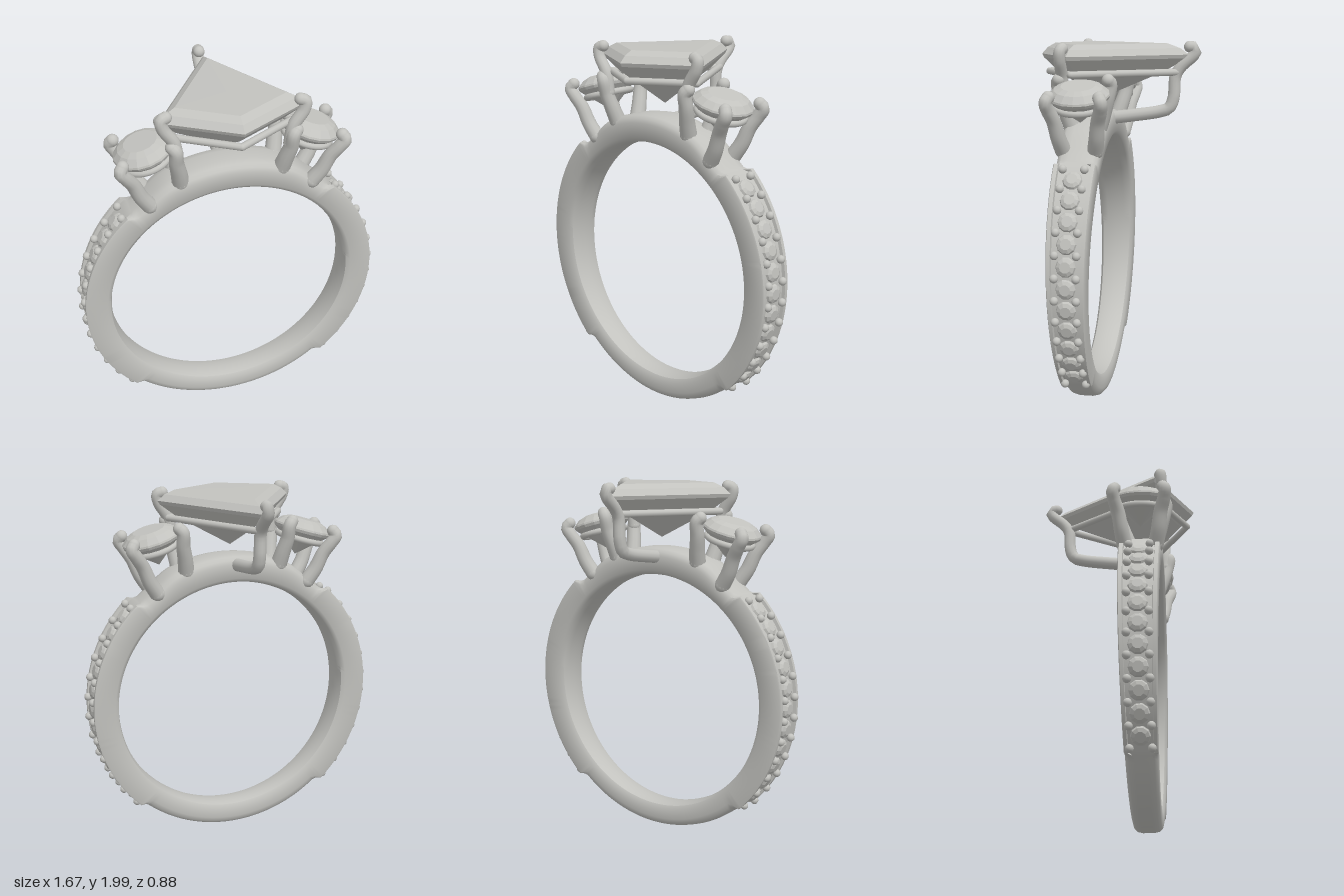
import * as THREE from 'three';
import { toCreasedNormals } from 'three/addons/utils/BufferGeometryUtils.js';

const CY = 0.805; // centre height of the hoop
const CZ = 0.148; // depth of the hoop
const V = (x, y, z) => new THREE.Vector3(x, y, z);

export function createModel() {
  const ring = new THREE.Group();
  ring.name = 'ring';
  const silver = new THREE.MeshStandardMaterial({ color: 0xc2c2be });
  silver.name = 'silver';

  const add = (name, geometry, parent = ring) => {
    const mesh = new THREE.Mesh(geometry, silver);
    mesh.name = name;
    parent.add(mesh);
    return mesh;
  };

  add('band', bandGeometry());

  // Shoulder stones with their grains, along both sides of the band
  const melee = gemGeometry(circle(10, 0.052), [[0, -0.02], [1, 0], [0.9, 0.012], [0.55, 0.022], [0, 0.022]]);
  const grain = new THREE.SphereGeometry(0.022, 12, 8);
  for (const side of [1, -1]) {
    const row = new THREE.Group();
    row.name = side > 0 ? 'leftPave' : 'rightPave';
    ring.add(row);
    for (let i = 0; i < 12; i++) {
      const a = THREE.MathUtils.degToRad(-44.6 + i * 8.07);
      for (const dz of [-0.056, 0.056]) {
        add('grain', grain, row).position.set(side * 0.817 * Math.cos(a), CY + 0.817 * Math.sin(a), CZ + dz);
      }
      if (i === 11) continue;
      const m = a + THREE.MathUtils.degToRad(4.03);
      const stone = add('smallStone', melee, row);
      stone.position.set(side * 0.799 * Math.cos(m), CY + 0.799 * Math.sin(m), CZ);
      stone.rotation.z = side * (m - Math.PI / 2);
    }
  }

  // Rounded, tapered claw following a path
  const prong = (name, points, r0, r1) => {
    const group = new THREE.Group();
    group.name = name;
    ring.add(group);
    const curve = new THREE.CatmullRomCurve3(points, false, 'centripetal');
    const n = 28, sides = 12;
    const geo = new THREE.TubeGeometry(curve, n, 1, sides, false);
    const pos = geo.attributes.position;
    for (let i = 0; i <= n; i++) {
      const c = curve.getPointAt(i / n);
      const r = THREE.MathUtils.lerp(r0, r1, i / n);
      for (let j = 0; j <= sides; j++) {
        const k = i * (sides + 1) + j;
        const p = V().fromBufferAttribute(pos, k).sub(c).multiplyScalar(r).add(c);
        pos.setXYZ(k, p.x, p.y, p.z);
      }
    }
    add('claw', geo, group);
    add('clawTip', new THREE.SphereGeometry(r1, 14, 10), group).position.copy(points[points.length - 1]);
    add('clawFoot', new THREE.SphereGeometry(r0, 14, 10), group).position.copy(points[0]);
  };

  // Kite shaped centre stone and its rail
  const kite = [[0, 0.32], [0.38, 0.105], [0, -0.495], [-0.38, 0.105]];
  add('centreStone', gemGeometry(kite, [
    [0, 1.68], [0.73, 1.835], [0.97, 1.905], [1, 1.925], [0.9, 1.96], [0.76, 1.985], [0, 1.988],
  ])).position.z = 0.125;
  const rail = new THREE.CurvePath();
  const corners = kite.map(([x, z]) => V(x * 0.85, 1.83, 0.125 + z * 0.87));
  corners.forEach((p, i) => rail.add(new THREE.LineCurve3(p, corners[(i + 1) % 4])));
  rail.curves.forEach((edge) => {
    add('centreRail', new THREE.TubeGeometry(edge, 1, 0.019, 10));
    add('railCorner', new THREE.SphereGeometry(0.019, 10, 8)).position.copy(edge.v1);
  });

  // Centre stone claws
  prong('backProng', [
    V(-0.015, 1.575, 0.07), V(-0.015, 1.59, -0.05), V(-0.015, 1.615, -0.21), V(-0.015, 1.635, -0.262),
    V(-0.015, 1.69, -0.285), V(-0.015, 1.81, -0.295), V(-0.015, 1.86, -0.325), V(-0.015, 1.93, -0.4),
    V(-0.015, 1.96, -0.405), V(-0.015, 1.967, -0.37),
  ], 0.036, 0.031);

  const round = gemGeometry(circle(16, 0.163), [
    [0, -0.15], [0.96, -0.015], [1, 0], [0.98, 0.01], [0.78, 0.04], [0.55, 0.055], [0, 0.055],
  ]);
  const hoop = new THREE.TorusGeometry(0.125, 0.018, 10, 40).rotateX(Math.PI / 2);

  for (const s of [1, -1]) {
    const label = s > 0 ? 'left' : 'right';
    prong(label + 'CentreProng', [
      V(s * 0.295, 1.72, 0.265), V(s * 0.31, 1.82, 0.265), V(s * 0.365, 1.91, 0.265),
      V(s * 0.372, 1.955, 0.262), V(s * 0.345, 1.966, 0.255),
    ], 0.034, 0.031);

    // Tilted round side stone on its rail
    const seat = new THREE.Group();
    seat.name = label + 'SideStone';
    seat.position.set(s * 0.443, 1.735, CZ);
    seat.rotation.z = -s * 0.28;
    ring.add(seat);
    add('roundStone', round, seat);
    add('stoneRail', hoop, seat).position.y = -0.055;

    // Four claws of each side stone
    for (const d of [1, -1]) {
      const at = (x, y, z) => V(s * x, y, CZ + d * z);
      prong(label + 'OuterProng', [
        at(0.44, 1.45, 0.085), at(0.485, 1.52, 0.1), at(0.525, 1.61, 0.115), at(0.565, 1.67, 0.135),
        at(0.59, 1.71, 0.142), at(0.575, 1.735, 0.13),
      ], 0.043, 0.033);
      prong(label + 'InnerProng', [
        at(0.272, 1.56, 0.075), at(0.285, 1.63, 0.1), at(0.302, 1.71, 0.125),
        at(0.308, 1.785, 0.142), at(0.325, 1.805, 0.132),
      ], 0.046, 0.034);
    }
  }
  return ring;
}

function circle(n, r) {
  return Array.from({ length: n }, (_, i) => {
    const a = (i / n) * Math.PI * 2;
    return [r * Math.sin(a), r * Math.cos(a)];
  });
}

// Flat faceted stone: an outline scaled per [scale, height] layer, bottom to top
function gemGeometry(outline, layers) {
  const n = outline.length, pos = [], index = [];
  for (const [k, y] of layers) for (const [x, z] of outline) pos.push(x * k, y, z * k);
  for (let i = 0; i < layers.length - 1; i++) {
    for (let j = 0; j < n; j++) {
      const a = i * n + j, b = i * n + ((j + 1) % n);
      if (layers[i][0] > 0) index.push(a, b, a + n);
      if (layers[i + 1][0] > 0) index.push(b, b + n, a + n);
    }
  }
  const geo = new THREE.BufferGeometry();
  geo.setAttribute('position', new THREE.Float32BufferAttribute(pos, 3));
  geo.setIndex(index);
  const flat = geo.toNonIndexed();
  flat.computeVertexNormals();
  return flat;
}

// Tapering hoop: rounded at top and bottom, channelled where the small stones sit
function bandGeometry() {
  const inner = [[-1, 0.698], [-0.85, 0.677], [-0.5, 0.668], [0, 0.666], [0.5, 0.668], [0.85, 0.677], [1, 0.698]];
  const plain = [[1, -0.045], [0.93, -0.022], [0.75, -0.007], [0.4, 0]];
  const channel = [[1, -0.008], [0.96, 0], [0.77, 0], [0.74, -0.018]];
  const segments = 240, pos = [], index = [];
  let count = 0;
  for (let i = 0; i < segments; i++) {
    const a = (i / segments) * Math.PI * 2, s = Math.sin(a), c = Math.cos(a);
    const elevation = THREE.MathUtils.radToDeg(Math.asin(s));
    const pave = 1 - THREE.MathUtils.smoothstep(Math.abs(elevation), 46.4, 49);
    const plainR = s < 0 ? 0.8 : 0.795 + 0.028 * THREE.MathUtils.smoothstep(elevation, 52, 68);
    const R = THREE.MathUtils.lerp(plainR, 0.817, pave);
    const w = 0.0975 + 0.018 * s;
    const half = plain.map(([u, h], k) => [
      THREE.MathUtils.lerp(u, channel[k][0], pave),
      R + THREE.MathUtils.lerp(h, channel[k][1], pave),
    ]);
    const mirrored = half.map(([u, r]) => [-u, r]).reverse();
    const profile = [...inner, ...half, ...mirrored];
    count = profile.length;
    for (const [u, r] of profile) pos.push(r * c, CY + r * s, CZ + u * w);
  }
  for (let i = 0; i < segments; i++) {
    for (let j = 0; j < count; j++) {
      const a = i * count + j, b = i * count + ((j + 1) % count);
      const i2 = ((i + 1) % segments) * count;
      const c = i2 + j, d = i2 + ((j + 1) % count);
      index.push(a, b, c, b, d, c);
    }
  }
  const geo = new THREE.BufferGeometry();
  geo.setAttribute('position', new THREE.Float32BufferAttribute(pos, 3));
  geo.setIndex(index);
  return toCreasedNormals(geo, 0.7);
}
